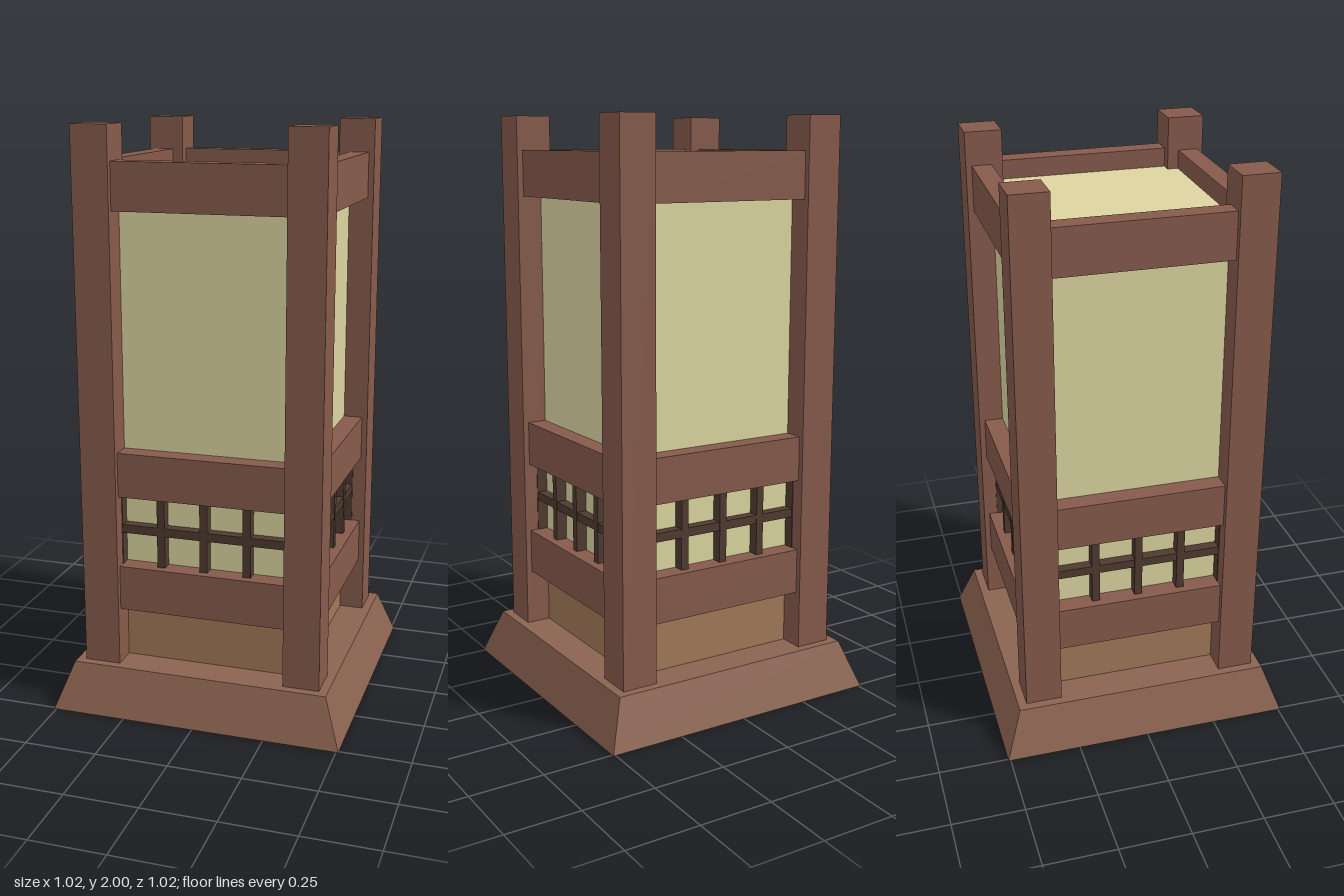
import * as THREE from 'three';

const mat = (color) => new THREE.MeshStandardMaterial({ color, flatShading: true });

export function createModel() {
  const model = new THREE.Group();
  const wood = mat(0x855a4b);
  const baseWood = mat(0x8b6350);
  const lightWood = mat(0xa17857);
  const darkWood = mat(0x4e3a2f);
  const paper = mat(0xdcd4a0);

  // Box spanning y0..y1, centred on x and z
  function box(parent, name, material, w, y0, y1, d, x = 0, z = 0) {
    const mesh = new THREE.Mesh(new THREE.BoxGeometry(w, y1 - y0, d), material);
    mesh.position.set(x, (y0 + y1) / 2, z);
    mesh.name = name;
    parent.add(mesh);
  }

  // Sloped square base
  const baseGeo = new THREE.CylinderGeometry(0.449 * Math.SQRT2, 0.508 * Math.SQRT2, 0.163, 4);
  baseGeo.rotateY(Math.PI / 4);
  const base = new THREE.Mesh(baseGeo, baseWood);
  base.position.y = 0.0815;
  base.name = 'base';
  model.add(base);

  // Wooden plinth and paper shade
  box(model, 'lowerPanel', lightWood, 0.664, 0.163, 0.42, 0.664);
  box(model, 'paperShade', paper, 0.664, 0.42, 1.82, 0.664);

  // Corner posts
  for (const x of [-1, 1])
    for (const z of [-1, 1])
      box(model, 'cornerPost', wood, 0.126, 0.163, 2, 0.126, x * 0.356, z * 0.356);

  // Rails and lattice, repeated on all four sides
  const rails = [['lowerRail', 0.36, 0.517], ['middleRail', 0.767, 0.922], ['topRail', 1.727, 1.885]];
  for (let i = 0; i < 4; i++) {
    const side = new THREE.Group();
    side.name = 'side';
    side.rotation.y = i * Math.PI / 2;
    for (const [name, y0, y1] of rails) box(side, name, wood, 0.6, y0, y1, 0.068, 0, 0.365);
    for (let k = -2; k <= 2; k++)
      box(side, 'latticeUpright', darkWood, 0.027, 0.51, 0.775, 0.04, k * 0.152, 0.35);
    box(side, 'latticeCrossbar', darkWood, 0.6, 0.629, 0.659, 0.036, 0, 0.35);
    model.add(side);
  }
  return model;
}
